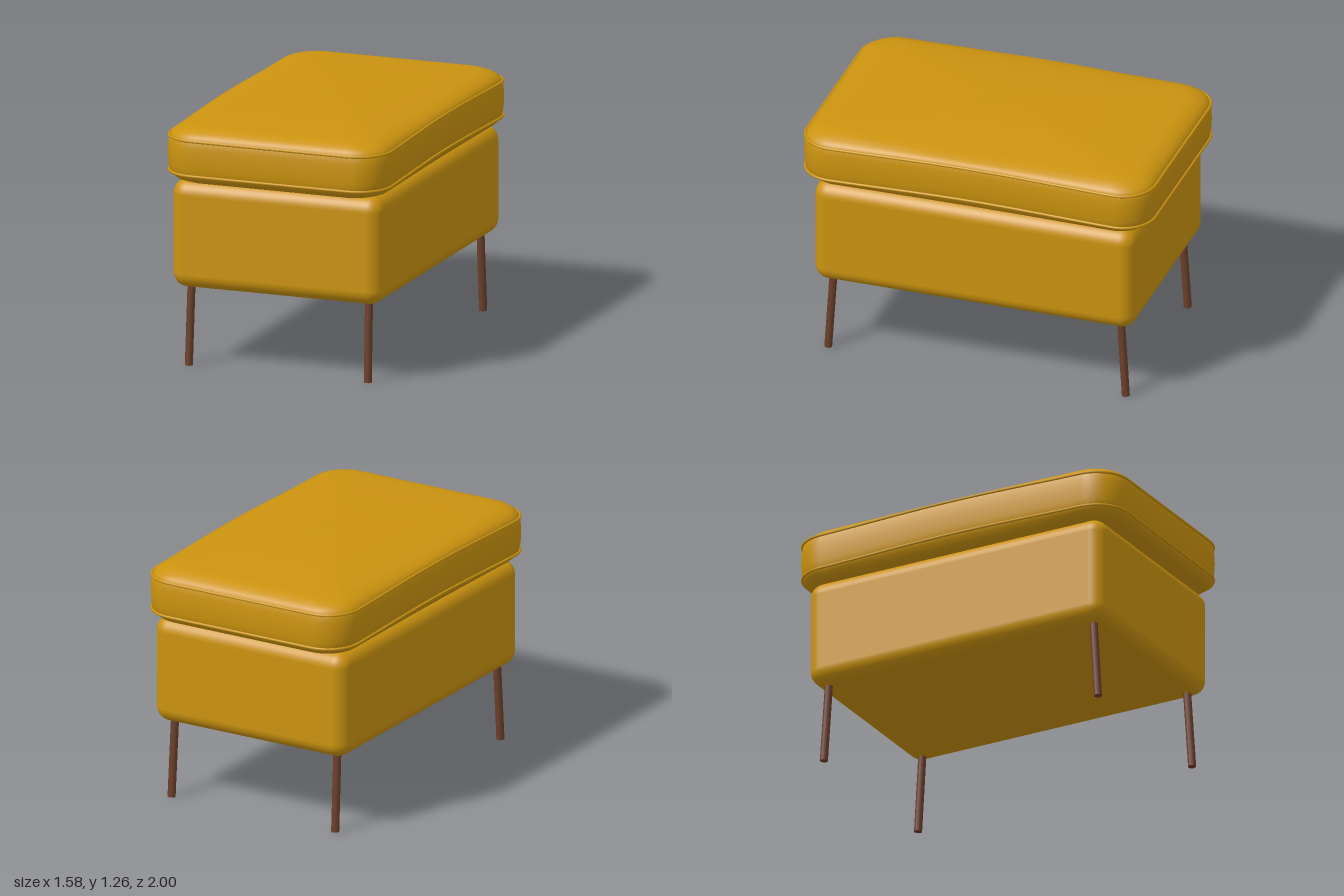
import * as THREE from 'three';
import { RoundedBoxGeometry } from 'three/addons/geometries/RoundedBoxGeometry.js';

const HALF_W = 0.583, HALF_D = 0.907, CORNER = 0.17;

// Rounded rectangle in plan, inset by o and scaled by s
function outline(o, s = 1) {
  const w = HALF_W - o, d = HALF_D - o, r = Math.max(CORNER - o * 0.5, 0.05);
  const corners = [[1, 1], [-1, 1], [-1, -1], [1, -1]];
  const pts = [];
  corners.forEach(([sx, sz], q) => {
    for (let i = 0; i <= 12; i++) {
      const t = (q + i / 12) * Math.PI / 2;
      pts.push([sx * (w - r) + r * Math.cos(t), sz * (d - r) + r * Math.sin(t)]);
    }
    // Subdivide the straight side that follows the corner
    const last = pts[pts.length - 1];
    const [nx, nz] = corners[(q + 1) % 4];
    const t = (q + 1) * Math.PI / 2;
    const next = [nx * (w - r) + r * Math.cos(t), nz * (d - r) + r * Math.sin(t)];
    for (let i = 1; i < 12; i++) {
      const k = i / 12;
      pts.push([last[0] + (next[0] - last[0]) * k, last[1] + (next[1] - last[1]) * k]);
    }
  });
  return pts.map(([x, z]) => [x * s, z * s]);
}

// Seams lift slightly at the middle of the long sides
const lift = (z) => 0.017 * Math.cos(Math.PI / 2 * Math.min(1, Math.abs(z) / HALF_D)) ** 2;

// Cushion skin lofted through stacked rings: [inset, y, scale, lift]
function cushionGeometry() {
  const rings = [
    [0.1, 0.945, 0.01, 0], [0.1, 0.945, 1, 0], [0.065, 0.948, 1, 0], [0.035, 0.96, 1, 0.3],
    [0.016, 0.978, 1, 0.7], [0.006, 0.997, 1, 1], [0.001, 1.03, 1, 1], [-0.002, 1.085, 1, 1],
    [0, 1.135, 1, 1], [0.005, 1.172, 1, 1], [0.016, 1.19, 1, 0.7], [0.036, 1.207, 1, 0.4],
    [0.07, 1.221, 1, 0.15], [0.11, 1.23, 1, 0],
  ];
  for (let i = 1; i <= 8; i++) {
    const s = Math.max(1 - i / 8, 0.001);
    rings.push([0.11, 1.23 + 0.027 * (1 - s * s), s, 0]);
  }
  const pos = [], idx = [];
  let n = 0;
  for (const [o, y, s, k] of rings) {
    const pts = outline(o, s);
    n = pts.length;
    for (const [x, z] of pts) pos.push(x, y + k * lift(z), z);
  }
  for (let i = 0; i < rings.length - 1; i++) {
    for (let j = 0; j < n; j++) {
      const a = i * n + j, b = i * n + (j + 1) % n;
      idx.push(a, a + n, b, b, a + n, b + n);
    }
  }
  const g = new THREE.BufferGeometry();
  g.setAttribute('position', new THREE.Float32BufferAttribute(pos, 3));
  g.setIndex(idx);
  g.computeVertexNormals();
  return g;
}

export function createModel() {
  const fabric = new THREE.MeshStandardMaterial({ color: 0xcb930f });
  fabric.name = 'mustard fabric';
  const wood = new THREE.MeshStandardMaterial({ color: 0x6b3f2a });
  wood.name = 'brown wood';

  const model = new THREE.Group();
  model.name = 'footstool';
  const add = (name, geometry, material) => {
    const mesh = new THREE.Mesh(geometry, material);
    mesh.name = name;
    model.add(mesh);
    return mesh;
  };

  // Upholstered base
  add('base', new RoundedBoxGeometry(1.108, 0.547, 1.664, 6, 0.075), fabric).position.y = 0.6735;

  // Cushion with piping along both seams
  add('cushion', cushionGeometry(), fabric);
  for (const [name, y] of [['lowerPiping', 0.995], ['upperPiping', 1.172]]) {
    const path = outline(0.003).map(([x, z]) => new THREE.Vector3(x, y + lift(z), z));
    const curve = new THREE.CatmullRomCurve3(path, true);
    add(name, new THREE.TubeGeometry(curve, 220, 0.007, 8, true), fabric);
  }

  // Splayed legs
  const up = new THREE.Vector3(0, 1, 0);
  for (const sx of [-1, 1]) {
    for (const sz of [-1, 1]) {
      const foot = new THREE.Vector3(sx * 0.473, 0.002, sz * 0.773);
      const top = new THREE.Vector3(sx * 0.469, 0.42, sz * 0.746);
      const dir = top.clone().sub(foot);
      const name = (sz > 0 ? 'front' : 'back') + (sx > 0 ? 'Left' : 'Right') + 'Leg';
      const leg = add(name, new THREE.CylinderGeometry(0.02, 0.02, dir.length(), 12), wood);
      leg.position.copy(foot).add(top).multiplyScalar(0.5);
      leg.quaternion.setFromUnitVectors(up, dir.normalize());
    }
  }

  // The stool stands turned on the floor
  model.rotation.y = 0.307;
  return model;
}
